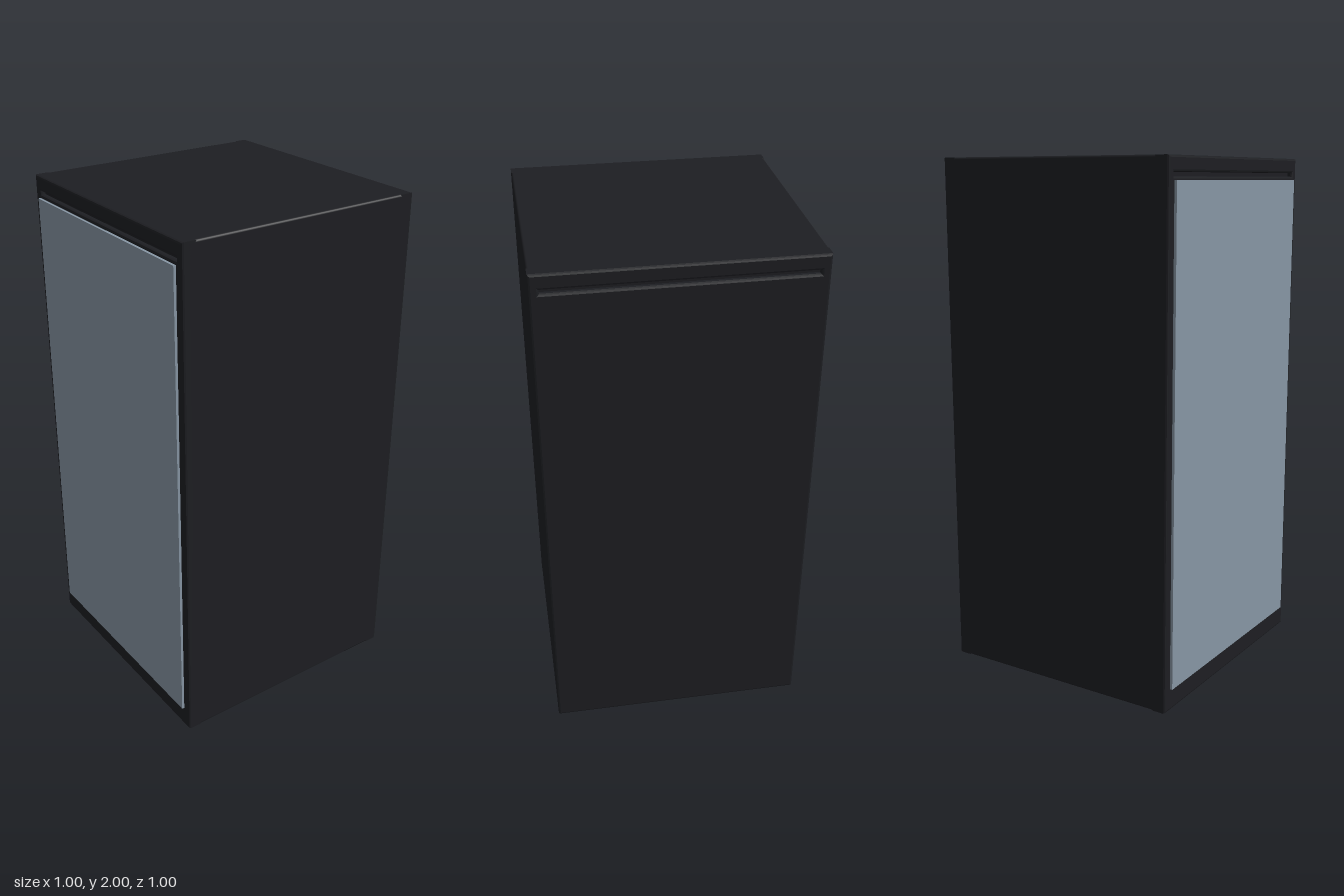
import * as THREE from 'three';
import { RoundedBoxGeometry } from 'three/addons/geometries/RoundedBoxGeometry.js';

const BEVEL = 0.008;

// Counter-clockwise rectangle path
function rect(path, x0, y0, x1, y1) {
  path.moveTo(x0, y0);
  path.lineTo(x1, y0);
  path.lineTo(x1, y1);
  path.lineTo(x0, y1);
  path.closePath();
  return path;
}

export function createModel() {
  const model = new THREE.Group();
  model.name = 'cabinet';
  const shell = new THREE.MeshStandardMaterial({ color: 0x1d1e22 });
  const glass = new THREE.MeshStandardMaterial({ color: 0x8796a4 });

  function add(name, geometry, material, x, y, z) {
    const mesh = new THREE.Mesh(geometry, material);
    mesh.name = name;
    mesh.position.set(x, y, z);
    model.add(mesh);
    return mesh;
  }

  // Solid core, set back at both ends so that the slots have a floor
  add('body', new RoundedBoxGeometry(1, 2, 0.95, 2, BEVEL), shell, 0, 1, -0.005);

  // Front and back plates, each with a long narrow slot near the top
  const face = rect(new THREE.Shape(), -0.5 + BEVEL, BEVEL, 0.5 - BEVEL, 2 - BEVEL);
  // the bevel narrows the hole, so it is drawn larger by that amount
  face.holes.push(rect(new THREE.Path(), -0.465 - BEVEL, 1.93 - BEVEL, 0.465 + BEVEL, 1.944 + BEVEL));
  const depth = 0.06;
  const plate = new THREE.ExtrudeGeometry(face, {
    depth: depth - 2 * BEVEL, bevelEnabled: true, bevelSize: BEVEL,
    bevelThickness: BEVEL, bevelSegments: 2,
  });
  plate.translate(0, 0, BEVEL);
  add('frontPlate', plate, shell, 0, 0, 0.49 - depth);
  add('backPlate', plate, shell, 0, 0, -0.5);

  // Door panel standing slightly proud of the front
  add('frontPanel', new THREE.BoxGeometry(0.93, 1.833, 0.02), glass, 0, 1.0015, 0.49);

  return model;
}
